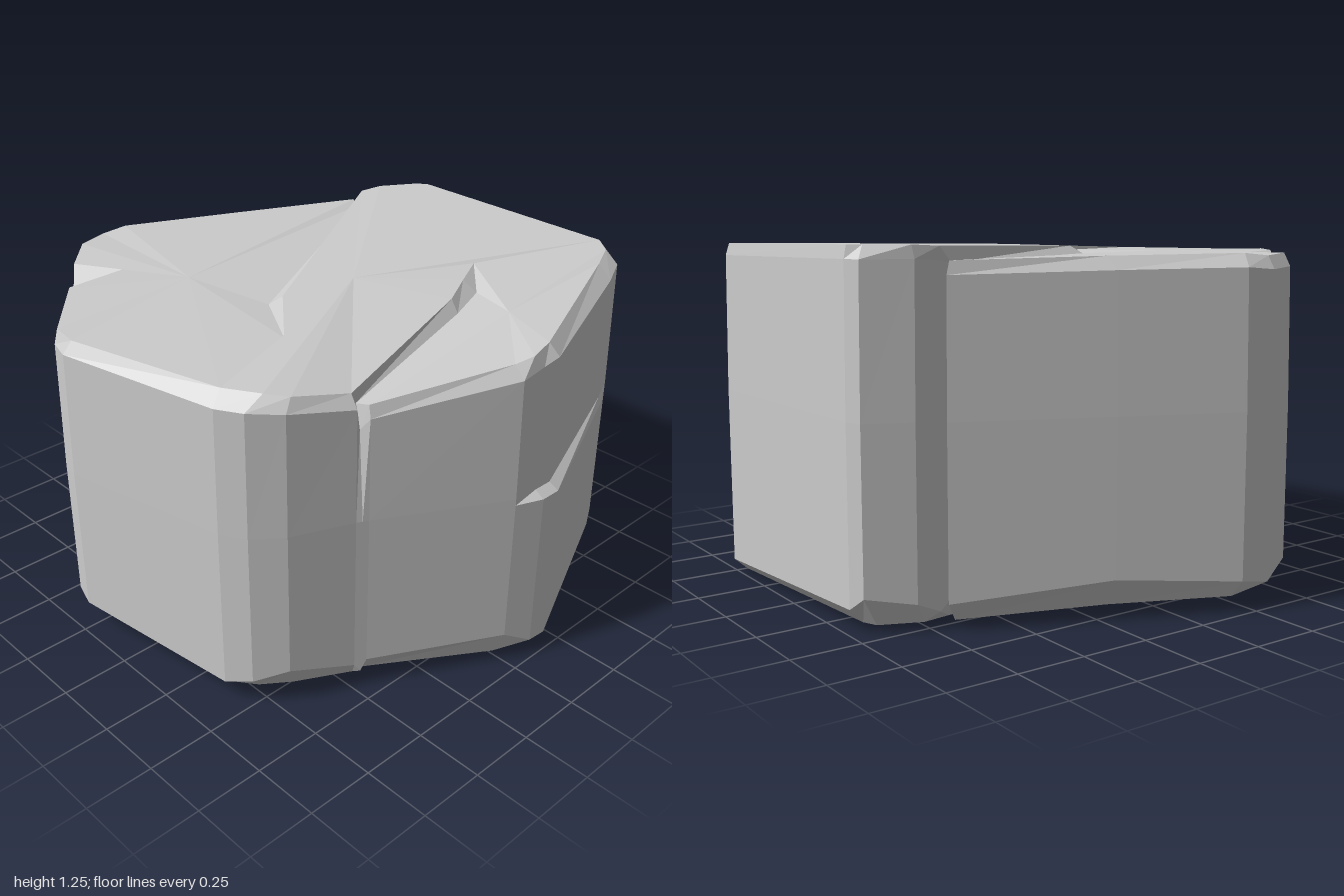
import * as THREE from 'three';

// Widest outline of the block as [x, z], counter-clockwise from the back-left cleft
const BODY = [
  [-0.57, -0.72], [-0.80, -0.21], [-0.98, 0.20], [-0.98, 0.32], [-0.93, 0.45], [-0.77, 0.58], [-0.70, 0.64],
  [-0.58, 0.74], [-0.30, 0.97], [-0.22, 0.99], [0.41, 0.86], [0.50, 0.81], [0.58, 0.71], [0.67, 0.49],
  [0.68, 0.47], [0.69, 0.45], [0.94, 0.0], [0.98, -0.10], [0.98, -0.18], [0.70, -0.82], [0.63, -0.94],
  [0.52, -1.0], [-0.38, -0.98], [-0.44, -0.96], [-0.51, -0.80], [-0.52, -0.72], [-0.51, -0.66],
];

// Rim of the top face as [x, y, z], one point per outline point
const RIM = [
  [-0.56, 1.20, -0.70], [-0.75, 1.21, -0.22], [-0.93, 1.215, 0.22], [-0.94, 1.205, 0.32], [-0.89, 1.21, 0.45],
  [-0.76, 1.20, 0.575], [-0.69, 1.14, 0.63], [-0.57, 1.205, 0.72], [-0.31, 1.20, 0.94], [-0.21, 1.195, 0.95],
  [0.38, 1.19, 0.80], [0.50, 1.19, 0.73], [0.56, 1.18, 0.67], [0.63, 1.15, 0.48], [0.62, 1.10, 0.45],
  [0.67, 1.11, 0.44], [0.89, 1.18, 0.0], [0.92, 1.20, -0.06], [0.90, 1.21, -0.16], [0.62, 1.22, -0.82],
  [0.57, 1.23, -0.93], [0.50, 1.235, -0.985], [-0.38, 1.25, -0.965], [-0.42, 1.25, -0.93], [-0.50, 1.25, -0.80],
  [-0.52, 1.245, -0.71], [-0.51, 1.19, -0.66],
];

const CLEFT = 26;                            // groove running down the back-left side
const NOTCH = 14;                            // short crack below the right rim
const LEDGE = { 17: 0.035, 18: 0.035, 19: 0.012 }; // inset above the ledge on the left-hand face

const floorY = (x, z) => 0.027 - 0.015 * x + 0.021 * z;

function facetedMesh(name, build) {
  const points = [];
  const tri = (...corners) => corners.forEach((p) => points.push(...p));
  const quad = (a, b, c, d) => { tri(a, b, c); tri(a, c, d); };
  build(tri, quad);
  const geometry = new THREE.BufferGeometry();
  geometry.setAttribute('position', new THREE.Float32BufferAttribute(points, 3));
  geometry.computeVertexNormals();
  const material = new THREE.MeshStandardMaterial({ color: 0xcccccc, flatShading: true, side: THREE.DoubleSide });
  const mesh = new THREE.Mesh(geometry, material);
  mesh.name = name;
  return mesh;
}

// Side rings from the underside up to the rim
function makeRings() {
  const ring = (fn) => BODY.map(([x, z], i) => fn(x, z, i));
  const inset = (x, z, d) => {
    const k = 1 - d / Math.hypot(x, z);
    return [x * k, z * k];
  };
  const at = (x, y, z, d) => {
    const [px, pz] = inset(x, z, d);
    return [px, y, pz];
  };
  return [
    ring((x, z, i) => at(x, floorY(x, z), z, 0.06 + 0.015 * Math.sin(i * 2.3))),
    ring((x, z, i) => at(x, floorY(x, z) + 0.07 + 0.035 * Math.sin(i * 1.7), z, 0)),
    ring((x, z) => at(x, 0.665, z, 0)),
    ring((x, z, i) => at(x, 0.69, z, LEDGE[i] ?? 0)),
    ring((x, z, i) => {
      if (i === NOTCH) return [0.65, 1.02, 0.46];
      if (i === CLEFT) return [x, 1.15, z];
      return at(x, RIM[i][1] - 0.045, z, (LEDGE[i] ?? 0) + 0.008);
    }),
    RIM,
  ];
}

export function createModel() {
  const model = new THREE.Group();
  model.name = 'rock';
  const rings = makeRings();
  const count = BODY.length;

  model.add(facetedMesh('rockSides', (tri, quad) => {
    for (let r = 0; r < rings.length - 1; r++) {
      for (let i = 0; i < count; i++) {
        const j = (i + 1) % count;
        quad(rings[r][i], rings[r][j], rings[r + 1][j], rings[r + 1][i]);
      }
    }
  }));

  model.add(facetedMesh('rockUnderside', (tri) => {
    const base = rings[0];
    base.forEach((p, i) => tri([0, floorY(0, 0), 0], base[(i + 1) % count], p));
  }));

  // Crack edges across the top: upper lip, lower lip and shared tip
  const tipA = [0.25, 1.19, 0.42], upA = [0.03, 1.215, 0.23], lowA = [0.0, 1.185, 0.27];
  const tipB = [0.30, 1.22, -0.48];
  const upB = [[0.44, 1.205, -0.20], [0.37, 1.215, -0.34]];
  const lowB = [[0.48, 1.165, -0.19], [0.42, 1.175, -0.36]];
  const chip = [-0.60, 1.195, 0.46];
  const rim = (from, to) => RIM.slice(from, to + 1);

  // Three slabs of the top, each a fan around its own middle
  const slabs = {
    leftSlab: [[-0.35, 1.205, 0.35], [RIM[CLEFT], ...rim(0, 5), chip, ...rim(7, 10), tipA, lowA]],
    raisedSlab: [[0.10, 1.225, -0.05], [...rim(10, 13), ...upB, tipB, ...rim(21, 25), upA, tipA]],
    rightSlab: [[0.64, 1.20, -0.27], [...rim(14, 21), tipB, lowB[1], lowB[0]]],
  };
  for (const [name, [middle, edge]] of Object.entries(slabs)) {
    model.add(facetedMesh(name, (tri) => {
      edge.forEach((p, i) => tri(middle, p, edge[(i + 1) % edge.length]));
    }));
  }

  // Step walls between the slabs, and the chip in the front rim
  model.add(facetedMesh('crackWalls', (tri, quad) => {
    quad(RIM[CLEFT], lowA, upA, RIM[25]);
    tri(lowA, tipA, upA);
    quad(RIM[NOTCH], lowB[0], upB[0], RIM[13]);
    quad(lowB[0], lowB[1], upB[1], upB[0]);
    tri(lowB[1], tipB, upB[1]);
  }));
  model.add(facetedMesh('rimChip', (tri) => {
    tri(RIM[5], RIM[6], chip);
    tri(RIM[6], RIM[7], chip);
  }));

  return model;
}
